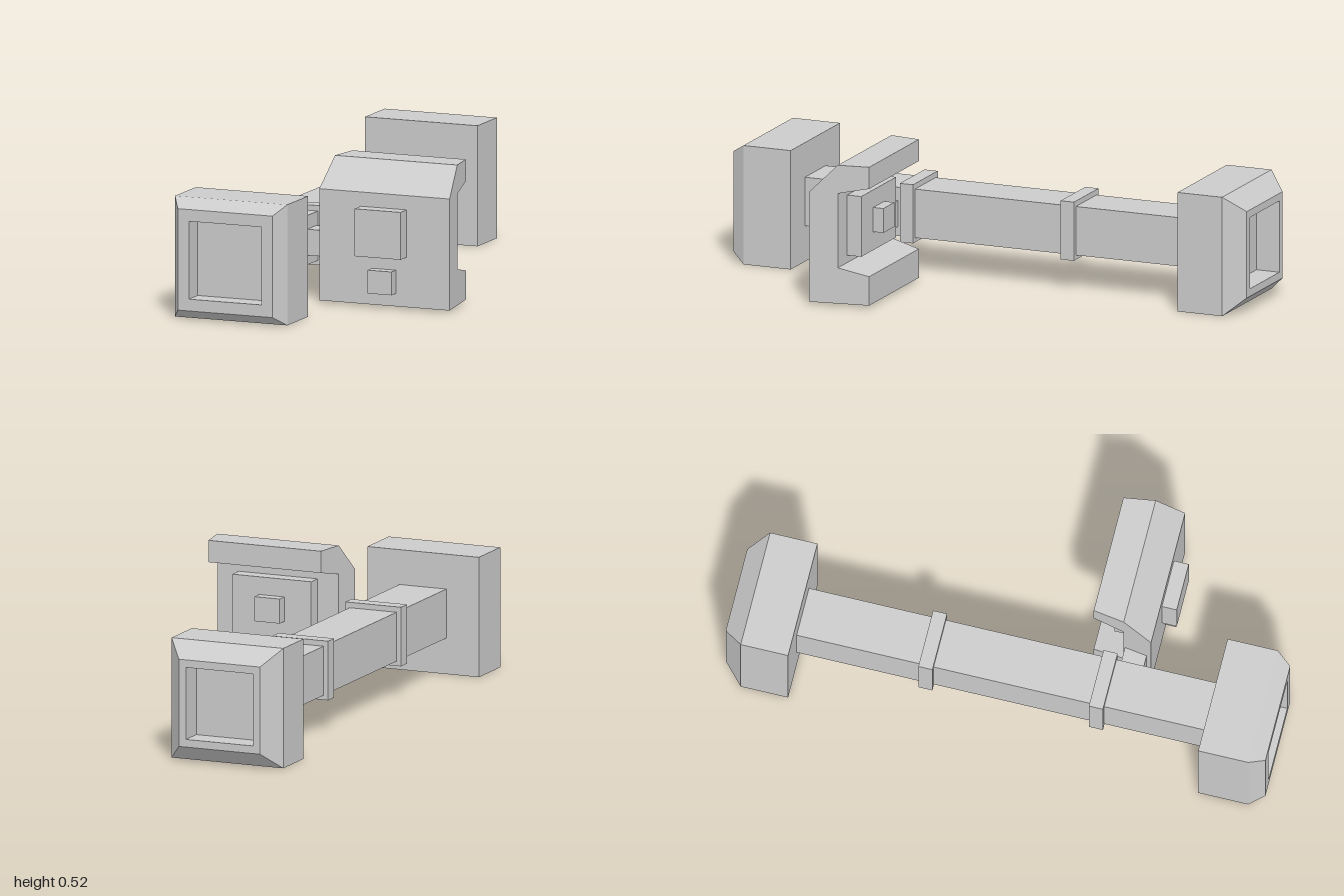
import * as THREE from 'three';

const material = new THREE.MeshStandardMaterial({ color: 0xcccccc, flatShading: true });
const AXIS_X = -0.22, AXIS_Y = 0.223;

function add(parent, name, geometry) {
  const mesh = new THREE.Mesh(geometry, material);
  mesh.name = name;
  parent.add(mesh);
  return mesh;
}

// Box given by its limits on each axis
function box(parent, name, [x0, x1], [y0, y1], [z0, z1]) {
  const mesh = add(parent, name, new THREE.BoxGeometry(x1 - x0, y1 - y0, z1 - z0));
  mesh.position.set((x0 + x1) / 2, (y0 + y1) / 2, (z0 + z1) / 2);
  return mesh;
}

// Square end housing: four-sided lathe of [half width, distance along the axis]
function housing(parent, name, profile, direction) {
  const points = profile.map(([half, d]) => new THREE.Vector2(half * Math.SQRT2, d));
  const geometry = new THREE.LatheGeometry(points, 4, Math.PI / 4);
  geometry.rotateX(direction * Math.PI / 2);
  add(parent, name, geometry).position.set(AXIS_X, AXIS_Y, 0);
}

// C-shaped bracket: side section [z, y] extruded across x, narrowing to the rear
function bracketGeometry() {
  const section = [
    [0.495, 0.013], [0.495, 0.42], [0.39, 0.525], [0.275, 0.525], [0.275, 0.445],
    [0.39, 0.42], [0.39, 0.145], [0.275, 0.12], [0.275, 0.013],
  ];
  const shape = new THREE.Shape(section.map(([z, y]) => new THREE.Vector2(z, y)));
  const geometry = new THREE.ExtrudeGeometry(shape, { depth: 2, bevelEnabled: false });
  geometry.translate(0, 0, -1).rotateY(-Math.PI / 2);
  const p = geometry.attributes.position;
  for (let i = 0; i < p.count; i++) {
    const half = THREE.MathUtils.mapLinear(p.getZ(i), 0.275, 0.495, 0.222, 0.255);
    p.setX(i, 0.183 + p.getX(i) * half);
  }
  geometry.computeVertexNormals();
  return geometry;
}

export function createModel() {
  const model = new THREE.Group();
  model.name = 'squareScope';

  // Main tube with two raised bands
  box(model, 'tube', [-0.312, -0.127], [0.135, 0.315], [-0.765, 0.775]);
  for (const z of [-0.275, 0.355]) {
    box(model, 'band', [-0.33, -0.11], [0.118, 0.335], [z - 0.026, z + 0.026]);
  }

  // End housings with bevelled rims and recessed windows
  housing(model, 'frontHousing', [
    [0, 0.76], [0.22, 0.76], [0.22, 0.945], [0.185, 1], [0.142, 1], [0.142, 0.92], [0, 0.92],
  ], 1);
  housing(model, 'rearHousing', [
    [0, 0.755], [0.22, 0.755], [0.22, 0.93], [0.16, 1], [0.132, 1], [0.132, 0.91], [0, 0.91],
  ], -1);

  // Side mount: connector, bracket and raised blocks
  const mount = new THREE.Group();
  mount.name = 'sideMount';
  model.add(mount);
  box(mount, 'connector', [-0.14, -0.03], [0.17, 0.265], [0.395, 0.478]);
  add(mount, 'bracket', bracketGeometry());
  box(mount, 'frontUpperBlock', [0.09, 0.27], [0.195, 0.368], [0.485, 0.55]);
  box(mount, 'frontLowerBlock', [0.135, 0.228], [0.06, 0.145], [0.485, 0.535]);
  box(mount, 'rearPlate', [0.027, 0.338], [0.172, 0.395], [0.335, 0.4]);
  box(mount, 'rearButton', [0.133, 0.232], [0.24, 0.33], [0.295, 0.345]);

  return model;
}
